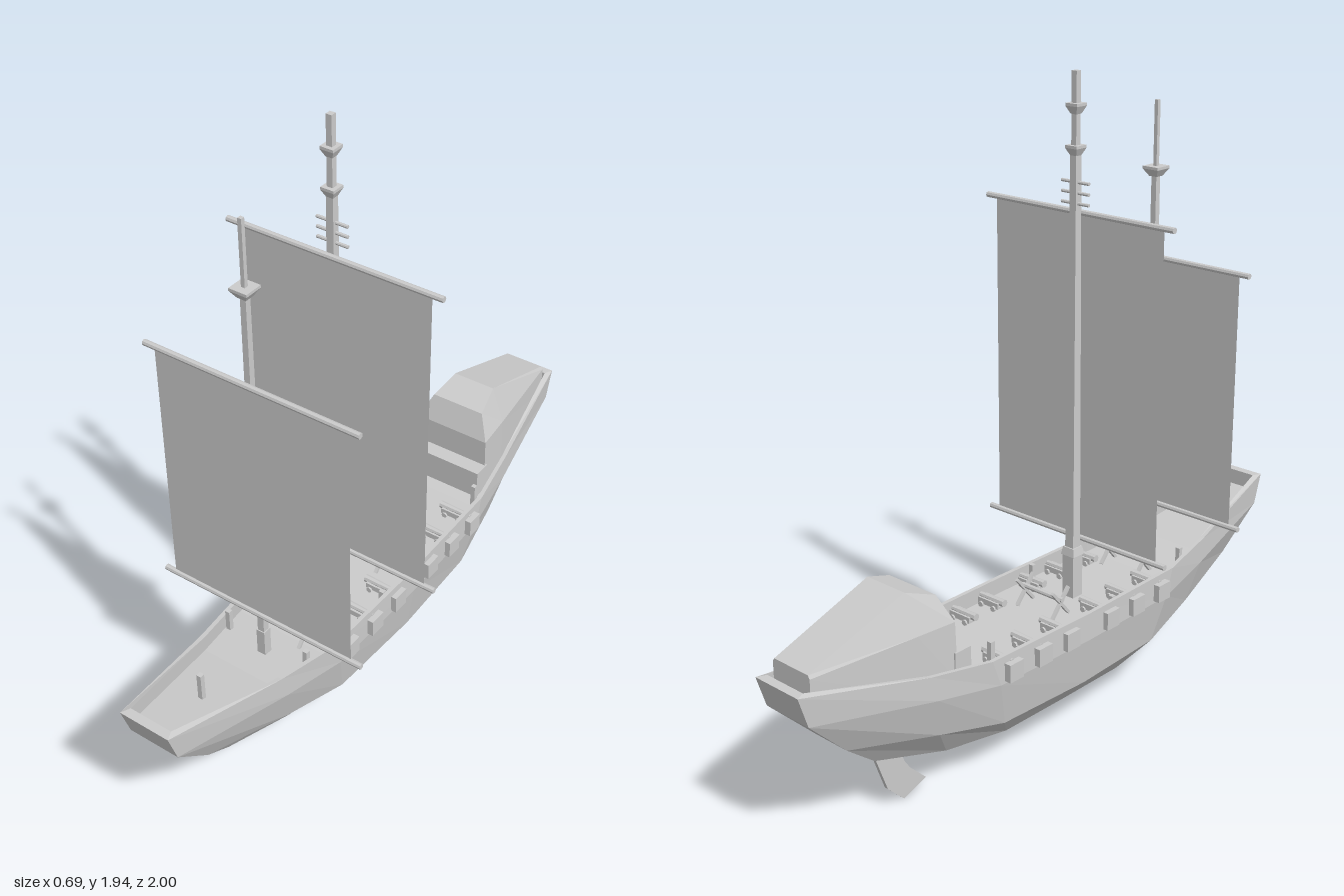
import * as THREE from 'three';

const mat = new THREE.MeshStandardMaterial({ color: 0xcccccc, flatShading: true });
const thin = new THREE.MeshStandardMaterial({ color: 0xcccccc, flatShading: true, side: THREE.DoubleSide });

function add(parent, name, geo, x = 0, y = 0, z = 0, material = mat) {
  const m = new THREE.Mesh(geo, material);
  m.name = name;
  m.position.set(x, y, z);
  parent.add(m);
  return m;
}
const box = (parent, name, w, h, d, x, y, z) => add(parent, name, new THREE.BoxGeometry(w, h, d), x, y, z);

// Joins closed rings running from bow to stern; caps lists the corner quads of the front end
function loft(rings, caps) {
  const pos = [];
  const quad = (a, b, c, d) => [a, b, c, a, c, d].forEach((p) => pos.push(...p));
  const n = rings[0].length;
  for (let i = 0; i < rings.length - 1; i++) {
    for (let j = 0; j < n; j++) {
      const k = (j + 1) % n;
      quad(rings[i][j], rings[i][k], rings[i + 1][k], rings[i + 1][j]);
    }
  }
  const last = rings[rings.length - 1];
  for (const c of caps) {
    quad(...c.map((j) => rings[0][j]));
    quad(...[...c].reverse().map((j) => last[j]));
  }
  const geo = new THREE.BufferGeometry();
  geo.setAttribute('position', new THREE.Float32BufferAttribute(pos, 3));
  geo.computeVertexNormals();
  return geo;
}

// Mirrors one side of a section into a ring
const mirrorRing = (half) => [...half, ...[...half].reverse().map(([x, y, z]) => [-x, y, z])];

// Hull: half sections of rim, two chines and bottom, symmetrical fore and aft
function hullGeometry() {
  const half = [
    [[0.083, 0.525, 1], [0.083, 0.43, 0.97], [0.06, 0.29, 0.83], [0.03, 0.19, 0.71]],
    [[0.146, 0.443, 0.6], [0.15, 0.365, 0.58], [0.12, 0.235, 0.55], [0.06, 0.125, 0.47]],
    [[0.178, 0.42, 0.4], [0.18, 0.335, 0.37], [0.155, 0.19, 0.33], [0.083, 0.1, 0.25]],
    [[0.185, 0.418, 0], [0.187, 0.333, 0], [0.165, 0.185, 0], [0.085, 0.1, 0]],
  ];
  const flip = half.slice(0, 3).reverse().map((s) => s.map(([x, y, z]) => [x, y, -z]));
  const rings = [...half, ...flip].map((s) => {
    const [x, y, z] = s[0];
    const zi = Math.abs(z) === 1 ? z * 0.972 : z;
    const wi = x - 0.013;
    return [...mirrorRing(s), [-wi, y, zi], [-wi, y - 0.05, zi], [wi, y - 0.05, zi], [wi, y, zi]];
  });
  return loft(rings, [[0, 7, 6, 1], [1, 6, 5, 2], [2, 5, 4, 3], [0, 11, 8, 7], [11, 10, 9, 8]]);
}

// Aft cabin: top, eave and foot of each section
function cabinGeometry() {
  const rings = [
    [[0.09, 0.64, -0.525], [0.128, 0.56, -0.492], [0.133, 0.38, -0.49]],
    [[0.072, 0.675, -0.62], [0.115, 0.56, -0.62], [0.118, 0.39, -0.62]],
    [[0.066, 0.565, -0.95], [0.072, 0.555, -0.95], [0.072, 0.46, -0.95]],
  ].map(mirrorRing);
  return loft(rings, [[0, 5, 4, 1], [1, 4, 3, 2]]);
}

// Square-section spar, rBottom and rTop being half widths
function squareSpar(parent, name, rBottom, rTop, y0, y1, z) {
  const geo = new THREE.CylinderGeometry(rTop * Math.SQRT2, rBottom * Math.SQRT2, y1 - y0, 4);
  geo.rotateY(Math.PI / 4);
  return add(parent, name, geo, 0, (y0 + y1) / 2, z);
}

// Round bar lying across the ship
function crossBar(parent, name, r, length, x, y, z, r2 = r) {
  const geo = new THREE.CylinderGeometry(r, r2, length, 8);
  geo.rotateZ(-Math.PI / 2);
  return add(parent, name, geo, x, y, z);
}

// Lookout: flared square cup with a flat rim
function lookout(parent, y, z, w) {
  squareSpar(parent, 'lookoutCup', w * 0.5, w, y - 0.022, y, z);
  squareSpar(parent, 'lookoutRim', w, w, y, y + 0.008, z);
}

function sail(parent, name, y0, y1, z) {
  const g = new THREE.Group();
  g.name = name;
  add(g, 'sailCloth', new THREE.PlaneGeometry(0.62, y1 - y0), 0, (y0 + y1) / 2, z, thin);
  for (const y of [y0, y1]) crossBar(g, 'yard', 0.009, 0.69, 0, y, z);
  parent.add(g);
}

// Cannon on a wheeled carriage, pointing to +x
function cannon() {
  const g = new THREE.Group();
  g.name = 'cannon';
  crossBar(g, 'barrel', 0.008, 0.11, 0.128, 0.395, 0, 0.012);
  for (const s of [-1, 1]) {
    box(g, 'carriageCheek', 0.08, 0.018, 0.007, 0.125, 0.386, s * 0.015);
    for (const x of [0.1, 0.15]) {
      const wheel = new THREE.CylinderGeometry(0.009, 0.009, 0.006, 8);
      wheel.rotateX(Math.PI / 2);
      add(g, 'carriageWheel', wheel, x, 0.377, s * 0.022);
    }
  }
  box(g, 'carriageBed', 0.08, 0.006, 0.03, 0.125, 0.38, 0);
  return g;
}

// Windlass: axle on crossed legs
function windlass(z) {
  const g = new THREE.Group();
  g.name = 'windlass';
  g.position.z = z;
  crossBar(g, 'windlassAxle', 0.008, 0.16, 0, 0.425, 0);
  for (const x of [-0.07, 0.07]) {
    for (const s of [-1, 1]) {
      box(g, 'windlassLeg', 0.01, 0.11, 0.009, x, 0.413, 0).rotation.x = s * 0.7;
    }
  }
  return g;
}

export function createModel() {
  const model = new THREE.Group();
  model.name = 'sailingShip';
  const ship = new THREE.Group();
  ship.name = 'hullGroup';
  ship.position.x = -0.015;
  model.add(ship);

  add(ship, 'hull', hullGeometry());
  add(ship, 'cabin', cabinGeometry());
  box(ship, 'cabinStep', 0.27, 0.1, 0.06, 0, 0.42, -0.47);

  // Rudder blade
  const blade = [[-0.55, 0.2], [-0.595, 0.16], [-0.58, 0.12], [-0.56, 0.09], [-0.5, 0.03],
    [-0.585, 0], [-0.645, 0.06], [-0.685, 0.17], [-0.69, 0.22]];
  const rudderShape = new THREE.Shape(blade.map(([z, y]) => new THREE.Vector2(-z, y)));
  const rudder = new THREE.ExtrudeGeometry(rudderShape, { depth: 0.012, bevelEnabled: false });
  rudder.rotateY(Math.PI / 2);
  add(ship, 'rudder', rudder, -0.006, 0, 0);

  // Gun ports and cannons down both sides
  for (const z of [0.333, 0.21, 0.09, -0.087, -0.207, -0.327]) {
    for (const s of [-1, 1]) {
      box(ship, 'gunPort', 0.03, 0.055, 0.055, s * 0.186, 0.37, z);
      const c = cannon();
      c.position.z = z;
      if (s < 0) c.rotation.y = Math.PI;
      ship.add(c);
    }
  }
  for (const z of [0, 0.39]) ship.add(windlass(z));

  // Mooring posts
  for (const [x, z, top] of [[0.157, -0.385, 0.47], [0.16, 0.13, 0.42], [0.14, 0.48, 0.45]]) {
    for (const s of [-1, 1]) box(ship, 'mooringPost', 0.015, top - 0.36, 0.015, s * x, (top + 0.36) / 2, z);
  }
  box(ship, 'bowPost', 0.015, 0.11, 0.015, 0, 0.465, 0.77);

  // Main mast with steps and two lookouts
  squareSpar(ship, 'mainMastFoot', 0.021, 0.021, 0.36, 0.51, 0.135);
  squareSpar(ship, 'mainMastCollar', 0.025, 0.02, 0.505, 0.53, 0.135);
  squareSpar(ship, 'mainMast', 0.016, 0.011, 0.5, 1.73, 0.135);
  squareSpar(ship, 'mainTopmast', 0.009, 0.009, 1.73, 1.94, 0.135);
  for (const y of [1.73, 1.845]) lookout(ship, y, 0.135, 0.021);
  for (const y of [1.575, 1.605, 1.635]) crossBar(ship, 'mastStep', 0.005, 0.1, 0, y, 0.135);

  // Fore mast with one lookout
  squareSpar(ship, 'foreMastFoot', 0.014, 0.014, 0.36, 0.47, 0.495);
  squareSpar(ship, 'foreMast', 0.011, 0.009, 0.46, 1.61, 0.495);
  squareSpar(ship, 'foreTopmast', 0.006, 0.006, 1.61, 1.82, 0.495);
  lookout(ship, 1.62, 0.495, 0.028);

  sail(model, 'mainSail', 0.553, 1.545, 0.16);
  sail(model, 'foreSail', 0.553, 1.347, 0.52);
  return model;
}
